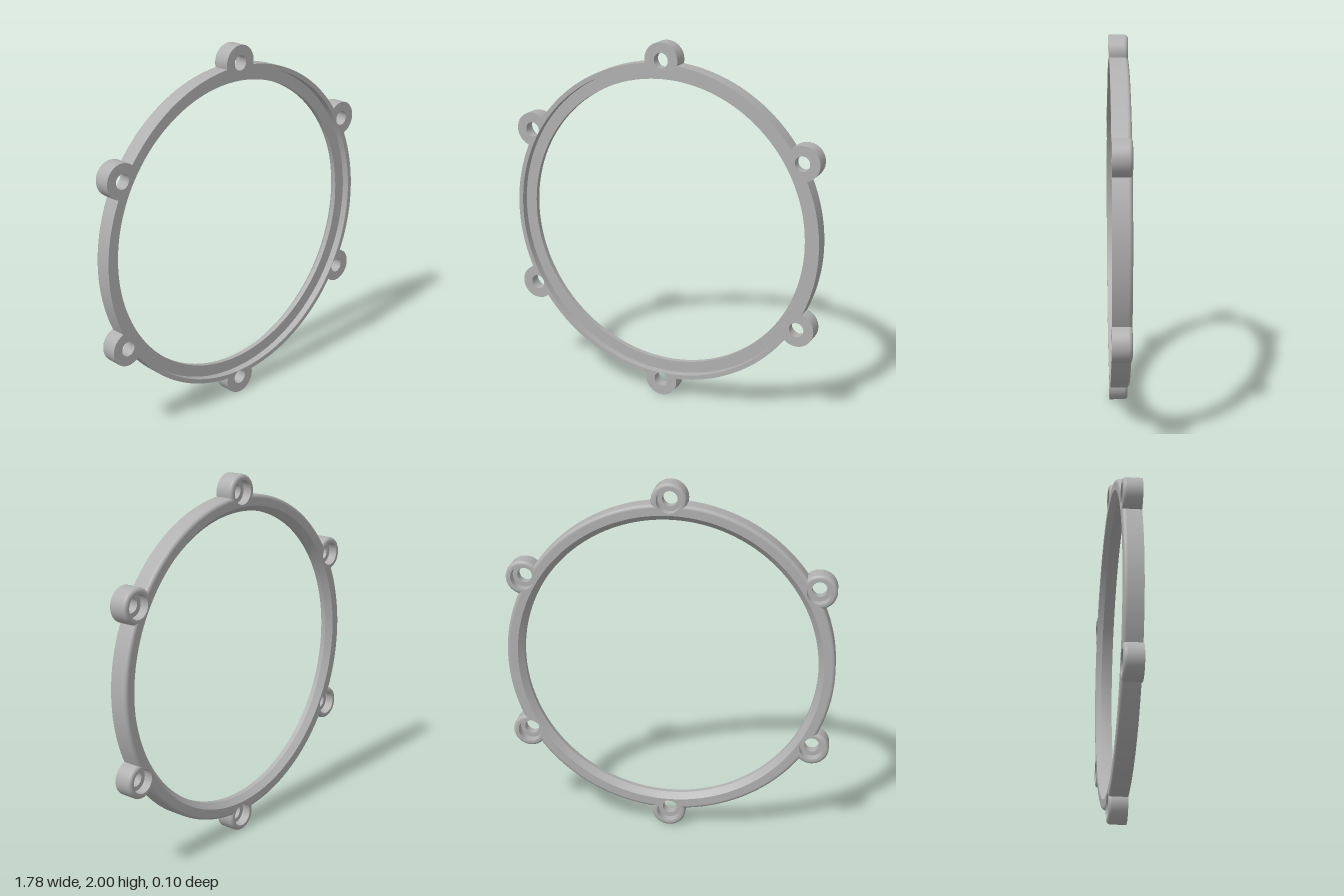
import * as THREE from 'three';
import { mergeGeometries } from 'three/addons/utils/BufferGeometryUtils.js';

const RING = 0.89, LUG = 0.094, LUG_DIST = 0.906;  // outer radius, lug radius, lug centre distance
const FRONT = 0.05, BACK = -0.05, FILLET = 0.018;
const REBATE = 0.865, CHAMFER = 0.83, HOLE = 0.04, COUNTERBORE = 0.065;
const lugAngles = Array.from({ length: 6 }, (_, k) => Math.PI / 2 + k * Math.PI / 3);
const lugCentre = (a) => [LUG_DIST * Math.cos(a), LUG_DIST * Math.sin(a)];

function arc(cx, cy, r, from, to, n) {
  return Array.from({ length: n + 1 }, (_, i) => {
    const a = from + (to - from) * i / n;
    return new THREE.Vector2(cx + r * Math.cos(a), cy + r * Math.sin(a));
  });
}

// Outer outline, counterclockwise, as alternating lug and ring arcs, shrunk by inset
function outlineArcs(inset) {
  const R = RING - inset, r = LUG - inset, d = LUG_DIST;
  const phi = Math.acos((R * R + d * d - r * r) / (2 * R * d));
  const psi = Math.atan2(R * Math.sin(phi), R * Math.cos(phi) - d);
  return lugAngles.flatMap((a) => [
    arc(...lugCentre(a), r, a - psi, a + psi, 28),
    arc(0, 0, R, a + phi, a + Math.PI / 3 - phi, 28),
  ]);
}

// Flat face bounded by the outline, with the opening and lug holes cut out
function face(inset, opening, hole) {
  const shape = new THREE.Shape(outlineArcs(inset).flatMap((p) => p.slice(0, -1)));
  const cut = (x, y, r, n) =>
    shape.holes.push(new THREE.Path(arc(x, y, r, 0, -Math.PI * 2, n).slice(0, -1)));
  cut(0, 0, opening, 144);
  lugAngles.forEach((a) => cut(...lugCentre(a), hole, 36));
  return new THREE.ShapeGeometry(shape);
}

// Outer wall with a rounded back edge, each arc smooth and the junctions sharp
function outerWall() {
  const rows = [[0, FRONT], [0, BACK + FILLET + 0.003]];
  for (let i = 0; i <= 6; i++) {
    const t = i / 6 * Math.PI / 2;
    rows.push([FILLET * (1 - Math.cos(t)), BACK + FILLET * (1 - Math.sin(t))]);
  }
  const loops = rows.map(([inset]) => outlineArcs(inset));
  const strips = loops[0].map((first, s) => {
    const positions = [], index = [], n = first.length;
    rows.forEach(([, z], j) => loops[j][s].forEach((p) => positions.push(p.x, p.y, z)));
    for (let j = 0; j < rows.length - 1; j++) {
      for (let i = 0; i < n - 1; i++) {
        const a = j * n + i, b = a + n;
        index.push(b, b + 1, a, b + 1, a + 1, a);
      }
    }
    const g = new THREE.BufferGeometry();
    g.setAttribute('position', new THREE.Float32BufferAttribute(positions, 3));
    g.setIndex(index);
    g.computeVertexNormals();
    return g;
  });
  return mergeGeometries(strips);
}

// Surface turned about z from [radius, z] points, sharp at every point
function turned(points, sides) {
  const bands = points.slice(1).map((p, i) =>
    new THREE.LatheGeometry([new THREE.Vector2(...points[i]), new THREE.Vector2(...p)], sides));
  return mergeGeometries(bands).rotateX(Math.PI / 2);
}

export function createModel() {
  const model = new THREE.Group();
  model.name = 'mountingRing';
  const grey = new THREE.MeshStandardMaterial({ color: 0xb0b0b0 });
  grey.name = 'plain grey';
  const add = (name, geometry) => {
    const mesh = new THREE.Mesh(geometry, grey);
    mesh.name = name;
    mesh.position.y = 1;
    model.add(mesh);
    return mesh;
  };

  add('frontFace', face(0, REBATE, HOLE).translate(0, 0, FRONT));
  add('backFace', face(FILLET, CHAMFER, COUNTERBORE).rotateY(Math.PI).translate(0, 0, BACK));
  add('outerWall', outerWall());

  // Front rebate, flange, bore and back chamfer
  add('innerWall', turned(
    [[REBATE, FRONT], [REBATE, 0.01], [0.8, 0.01], [0.8, -0.018], [CHAMFER, BACK]], 144));

  // Screw holes, counterbored from the back
  const hole = turned([[HOLE, FRONT], [HOLE, 0], [COUNTERBORE, 0], [COUNTERBORE, BACK]], 36);
  lugAngles.forEach((a) => {
    const [x, y] = lugCentre(a);
    add('screwHole', hole).position.set(x, 1 + y, 0);
  });
  return model;
}
